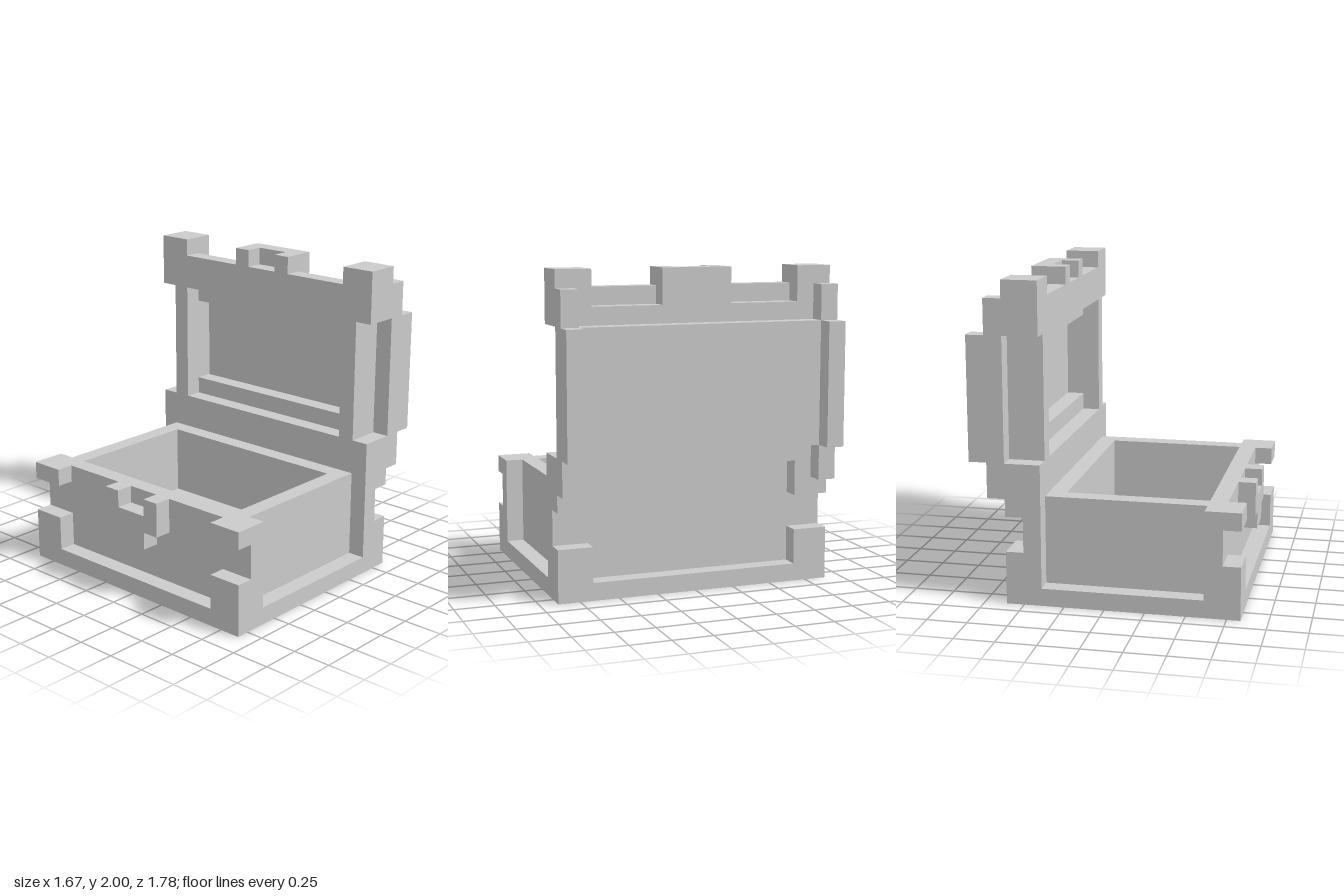
import * as THREE from 'three';

const U = 1 / 9; // one block
const DEPTH = 16; // blocks along z

export function createModel() {
  const material = new THREE.MeshStandardMaterial({ color: 0xcccccc, flatShading: true });
  const chest = new THREE.Group();
  chest.name = 'openChest';
  const base = new THREE.Group();
  base.name = 'base';
  const lid = new THREE.Group();
  lid.name = 'lid';
  chest.add(base, lid);

  // Box between block coordinates, counted from the model's lower corner
  function block(parent, name, [x0, x1], [y0, y1], [z0, z1]) {
    const mesh = new THREE.Mesh(
      new THREE.BoxGeometry((x1 - x0) * U, (y1 - y0) * U, (z1 - z0) * U), material);
    mesh.position.set(((x0 + x1) / 2 - 7.5) * U, ((y0 + y1) / 2) * U, ((z0 + z1) / 2 - 8) * U);
    mesh.name = name;
    parent.add(mesh);
  }
  // The same block at both ends of the chest
  function pair(parent, name, x, y, [z0, z1]) {
    block(parent, name, x, y, [z0, z1]);
    block(parent, name, x, y, [DEPTH - z1, DEPTH - z0]);
  }

  // Base: plinth, floor and recessed walls
  block(base, 'plinth', [0, 13], [0, 1], [0, 16]);
  block(base, 'floor', [1, 12], [1, 2], [1, 15]);
  block(base, 'frontWall', [1, 2], [2, 6], [1, 15]);
  block(base, 'backWall', [10, 12], [2, 6], [1, 15]);
  pair(base, 'endWall', [2, 10], [2, 6], [1, 2]);

  // Base corners: post, foot and cap with a notch between them
  for (const [outer, inner] of [[[0, 1], [1, 2]], [[12, 13], [11, 12]]]) {
    pair(base, 'cornerPost', inner, [1, 6], [0, 1]);
    pair(base, 'cornerFoot', outer, [1, 3], [0, 2]);
    pair(base, 'cornerCap', outer, [5, 6], [0, 2]);
  }

  // Lower half of the latch
  pair(base, 'latchArm', [0, 1], [4, 6], [6, 7]);
  block(base, 'latchPlate', [0, 1], [3, 5], [7, 9]);

  // Lid: hinge rail at the bottom
  block(lid, 'hingeRail', [11, 12], [6, 8], [0, 16]);
  block(lid, 'hingeRailOuter', [12, 13], [7, 8], [0, 16]);
  pair(lid, 'hingeCorner', [12, 13], [6, 7], [0, 2]);

  // Lid: front rail, now uppermost
  block(lid, 'frontRail', [11, 12], [15, 17], [0, 16]);
  block(lid, 'frontRailOuter', [12, 13], [15, 16], [0, 16]);
  pair(lid, 'frontCorner', [12, 13], [16, 17], [0, 2]);
  pair(lid, 'frontCornerTip', [11, 13], [17, 18], [0, 2]);

  // Lid: end walls, inner steps and top panel
  pair(lid, 'lidEndWall', [11, 13], [8, 15], [1, 2]);
  for (const y of [8, 14]) block(lid, 'innerStep', [12, 13], [y, y + 1], [2, 14]);
  block(lid, 'lidPanel', [13, 14], [8, 15], [1, 15]);

  // Lid: stepped bands around both ends
  pair(lid, 'lidBand', [13, 14], [6, 17], [0, 1]);
  pair(lid, 'lidBandCrest', [14, 15], [8, 15], [0, 1]);

  // Upper half of the latch
  block(lid, 'lidLatchPlate', [12, 13], [16, 18], [6, 10]);
  pair(lid, 'lidLatchArm', [11, 12], [17, 18], [6, 7]);

  return chest;
}
